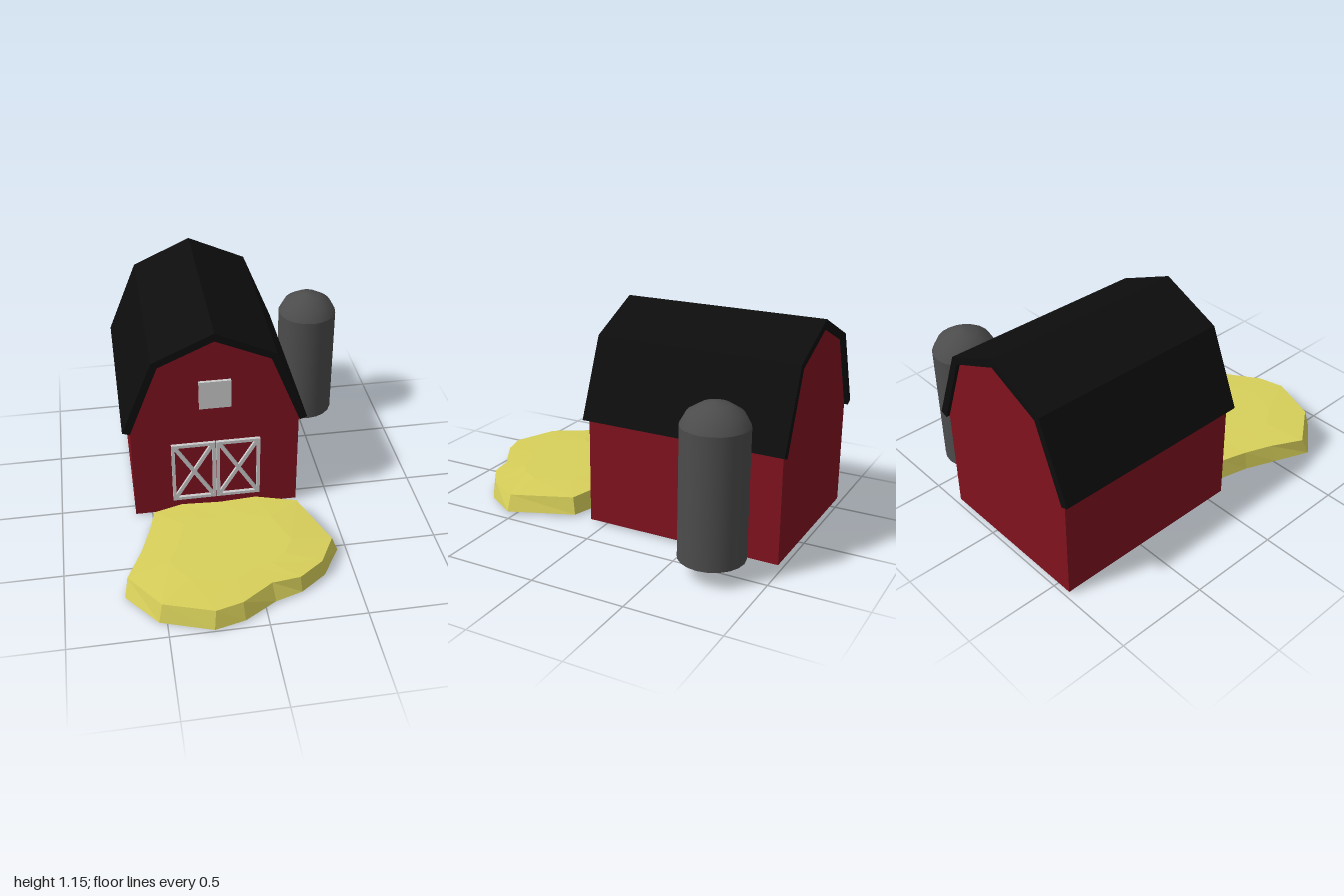
import * as THREE from 'three';

const mat = (color, extra = {}) => new THREE.MeshStandardMaterial({ color, ...extra });

function add(parent, name, geometry, material, x = 0, y = 0, z = 0) {
  const mesh = new THREE.Mesh(geometry, material);
  mesh.name = name;
  mesh.position.set(x, y, z);
  parent.add(mesh);
  return mesh;
}

// Extrude an outline of [x, y] points from z0 to z1
function extrude(points, z0, z1) {
  const shape = new THREE.Shape(points.map(p => new THREE.Vector2(...p)));
  return new THREE.ExtrudeGeometry(shape, { depth: z1 - z0, bevelEnabled: false }).translate(0, 0, z0);
}

// Complete a right-hand half outline with its mirror image
const mirror = half => [...half, ...half.slice().reverse().filter(p => p[0] !== 0).map(([x, y]) => [-x, y])];

// One door: a rectangular frame with a diagonal cross
function createDoor(name, material) {
  const door = new THREE.Group();
  door.name = name;
  const w = 0.24, h = 0.375, t = 0.018, d = 0.02;
  for (const s of [-1, 1]) {
    add(door, 'doorStile', new THREE.BoxGeometry(t, h, d), material, s * (w - t) / 2, 0, 0);
    add(door, 'doorRail', new THREE.BoxGeometry(w - 2 * t, t, d), material, 0, s * (h - t) / 2, 0);
    const dx = w - 2 * t, dy = h - 2 * t;
    const brace = add(door, 'doorBrace', new THREE.BoxGeometry(0.02, Math.hypot(dx, dy), d * 0.8), material);
    brace.rotation.z = s * Math.atan2(dx, dy);
  }
  return door;
}

// Low mound lofted from a wide base outline to a smaller rim and a raised middle
function createMoundGeometry() {
  const base = [[-0.35, 0.13], [-0.13, 0.145], [0.08, 0.13], [0.305, 0.195], [0.45, 0.54], [0.34, 0.715],
    [0.2, 0.815], [0.055, 0.86], [-0.115, 0.96], [-0.275, 0.995], [-0.54, 0.9], [-0.695, 0.705],
    [-0.62, 0.515], [-0.55, 0.34], [-0.51, 0.17]];
  const rim = [[-0.34, 0.155], [-0.13, 0.17], [0.07, 0.155], [0.29, 0.215], [0.415, 0.54], [0.325, 0.705],
    [0.19, 0.805], [0.04, 0.825], [-0.125, 0.935], [-0.265, 0.97], [-0.52, 0.88], [-0.675, 0.665],
    [-0.59, 0.49], [-0.535, 0.34], [-0.495, 0.195]];
  const cx = -0.13, cz = 0.52, n = base.length;
  const floor = x => 0.012 * THREE.MathUtils.smoothstep(x, -0.6, 0.1);
  const rings = [
    [[cx, 0.008, cz]],
    base.map(([x, z]) => [x, floor(x), z]),
    rim.map(([x, z]) => [x, 0.112 - 0.045 * (x - cx) ** 2, z]),
    rim.map(([x, z]) => [cx + (x - cx) * 0.6, 0.117, cz + (z - cz) * 0.6]),
    [[cx, 0.117, cz]],
  ];
  const pos = [];
  for (let r = 0; r < rings.length - 1; r++) {
    const at = (k, i) => rings[k][i % rings[k].length];
    for (let i = 0; i < n; i++) {
      const a = at(r, i), b = at(r, i + 1), c = at(r + 1, i + 1), d = at(r + 1, i);
      if (a !== b) pos.push(...a, ...c, ...b);
      if (c !== d) pos.push(...a, ...d, ...c);
    }
  }
  const geo = new THREE.BufferGeometry();
  geo.setAttribute('position', new THREE.Float32BufferAttribute(pos, 3));
  geo.computeVertexNormals();
  return geo;
}

export function createModel() {
  const model = new THREE.Group();
  model.name = 'farmyard';
  const red = mat(0x80121e), black = mat(0x0d0d0d), trim = mat(0xcccccc);
  const steel = mat(0x4c4c4c), straw = mat(0xd8d05a, { flatShading: true });

  // Barn
  const barn = new THREE.Group();
  barn.name = 'barn';
  barn.position.x = -0.139;
  model.add(barn);

  const walls = mirror([[0.453, 0.015], [0.453, 0.58], [0.295, 0.975], [0, 1.105]]);
  add(barn, 'barnWalls', extrude(walls, -0.98, 0.088), red);

  const outer = mirror([[0.495, 0.59], [0.326, 1.003], [0, 1.15]]);
  const inner = mirror([[0.455, 0.575], [0.295, 0.975], [0, 1.105]]);
  add(barn, 'gambrelRoof', extrude([...outer, ...inner.reverse()], -1, 0.104), black);

  add(barn, 'loftWindow', new THREE.BoxGeometry(0.17, 0.165, 0.02), trim, 0, 0.782, 0.095);
  for (const s of [-1, 1]) {
    const door = createDoor(s < 0 ? 'rightDoor' : 'leftDoor', trim);
    door.position.set(s * 0.122, 0.287, 0.096);
    barn.add(door);
  }

  // Silo with rounded cap and closed underside
  const silo = new THREE.Group();
  silo.name = 'silo';
  silo.position.set(0.526, 0, -0.72);
  model.add(silo);
  const r = 0.169, sides = 20;
  add(silo, 'siloBody', new THREE.CylinderGeometry(r, r, 0.67, sides, 1, true), steel, 0, 0.43, 0);
  const dome = [[r, 0.765], [0.136, 0.826], [0.072, 0.866], [0.015, 0.88], [0, 0.88]];
  add(silo, 'siloDome', new THREE.LatheGeometry(dome.map(p => new THREE.Vector2(...p)), sides), steel);
  add(silo, 'siloBase', new THREE.CircleGeometry(r, sides).rotateX(Math.PI / 2), steel, 0, 0.095, 0);

  // Straw mound in front of the doors
  add(model, 'strawMound', createMoundGeometry(), straw);
  return model;
}
